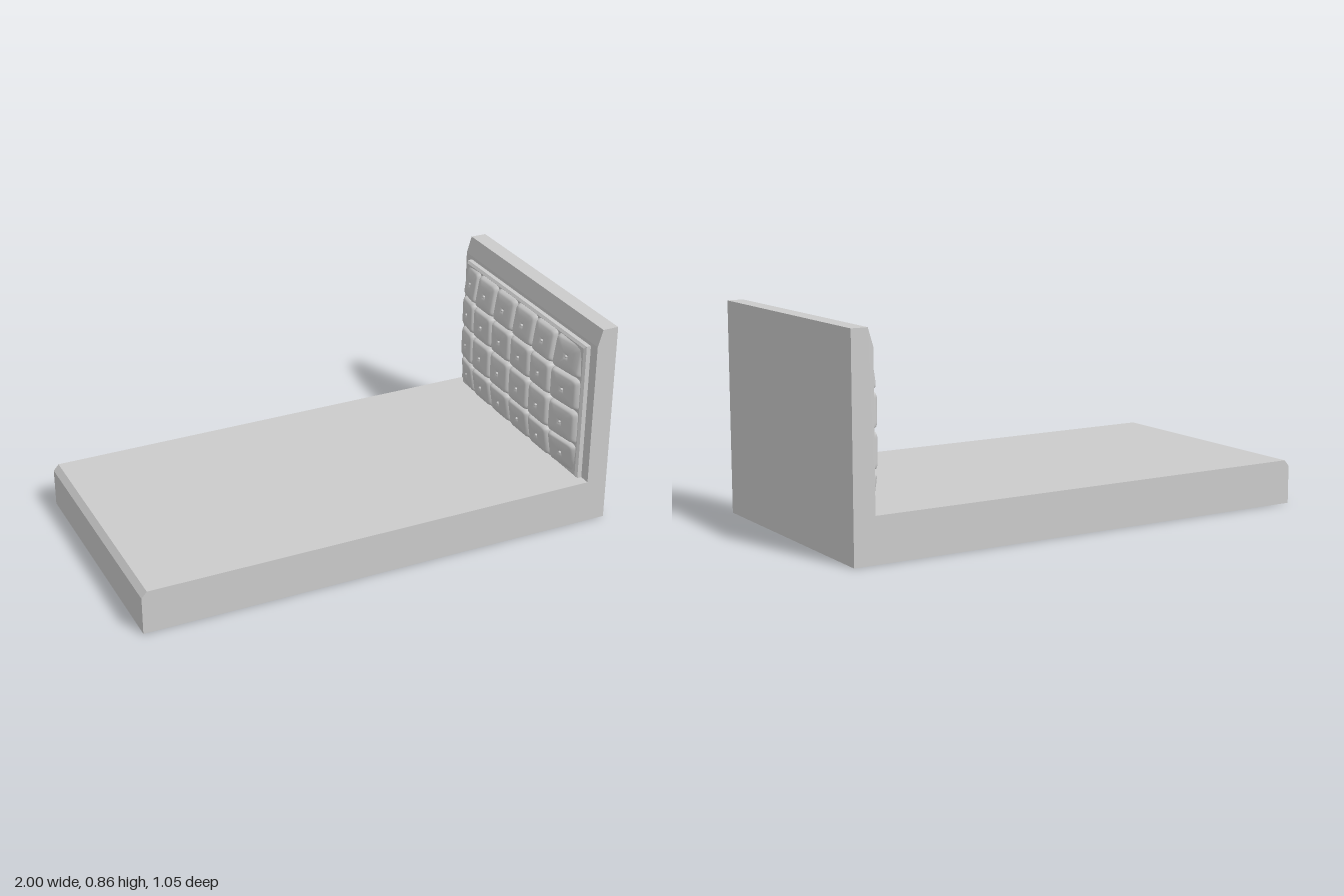
import * as THREE from 'three';

const material = new THREE.MeshStandardMaterial({ color: 0xcccccc, side: THREE.DoubleSide });
const HALF_WIDTH = 0.525;

function part(name, geometry, parent) {
  const mesh = new THREE.Mesh(geometry, material);
  mesh.name = name;
  parent.add(mesh);
  return mesh;
}

// Cushion seams across the headboard (z) and up it (y)
const seamsZ = [-0.472, -0.342, -0.188, -0.03, 0.13, 0.288, 0.468];
const seamsY = [0.188, 0.325, 0.475, 0.618, 0.762];

// Cushion section from its foot to the button dimple: [scale of outline, x]
const section = [
  [0.97, 0.892], [0.99, 0.876], [0.95, 0.86], [0.88, 0.85],
  [0.78, 0.845], [0.5, 0.841], [0.2, 0.84], [0.08, 0.846], [0, 0.849],
];
const SIDES = 40;

const squarish = (t) => Math.sign(t) * Math.pow(Math.abs(t), 0.22);

// One tufted cushion facing -x; leanZ and leanY tip border cushions back
function cushionGeometry(z0, z1, y0, y1, leanZ, leanY) {
  const positions = [], indices = [];
  const cz = (z0 + z1) / 2, cy = (y0 + y1) / 2;
  section.forEach(([scale, x], ring) => {
    for (let i = 0; i < SIDES; i++) {
      const angle = (i / SIDES) * Math.PI * 2;
      const u = squarish(Math.cos(angle)) * scale;
      const v = squarish(Math.sin(angle)) * scale;
      const back = Math.max(0, leanZ * u + Math.abs(leanZ)) * 0.011
        + Math.max(0, leanY * v + Math.abs(leanY)) * 0.011;
      positions.push(Math.min(x + back, 0.892), cy + v * (y1 - y0) / 2, cz + u * (z1 - z0) / 2);
      if (ring === section.length - 1) continue;
      const a = ring * SIDES + i, b = ring * SIDES + (i + 1) % SIDES;
      indices.push(a, b, b + SIDES, a, b + SIDES, a + SIDES);
    }
  });
  const geometry = new THREE.BufferGeometry();
  geometry.setAttribute('position', new THREE.Float32BufferAttribute(positions, 3));
  geometry.setIndex(indices);
  geometry.computeVertexNormals();
  return geometry;
}

export function createModel() {
  const model = new THREE.Group();
  model.name = 'bed';

  // Base and headboard share one L-shaped side profile
  const profile = new THREE.Shape([
    [-1, 0], [1, 0], [1, 0.855], [0.933, 0.855], [0.912, 0.785],
    [0.912, 0.18], [-0.978, 0.18], [-1, 0.155],
  ].map(([x, y]) => new THREE.Vector2(x, y)));
  const frame = new THREE.ExtrudeGeometry(profile, { depth: HALF_WIDTH * 2, bevelEnabled: false });
  frame.translate(0, 0, -HALF_WIDTH);
  part('bedFrame', frame, model);

  // Padded backing with a chamfered rim, behind the cushions
  const outline = new THREE.Shape([
    [-0.468, 0.19], [0.468, 0.19], [0.468, 0.76], [-0.468, 0.76],
  ].map(([z, y]) => new THREE.Vector2(z, y)));
  const backing = new THREE.ExtrudeGeometry(outline, {
    depth: 0.02, bevelThickness: 0.008, bevelSize: 0.01, bevelSegments: 1,
  });
  backing.rotateY(-Math.PI / 2);
  backing.translate(0.913, 0, 0);
  part('cushionBacking', backing, model);

  // Grid of tufted cushions, each with a small button
  const cushions = new THREE.Group();
  cushions.name = 'headboardCushions';
  model.add(cushions);
  const columns = seamsZ.length - 1, rows = seamsY.length - 1;
  const lean = (i, count) => (i === 0 ? -1 : i === count - 1 ? 1 : 0);
  for (let c = 0; c < columns; c++) {
    for (let r = 0; r < rows; r++) {
      const leanZ = lean(c, columns), leanY = lean(r, rows);
      const [z0, z1, y0, y1] = [seamsZ[c], seamsZ[c + 1], seamsY[r], seamsY[r + 1]];
      part('cushion', cushionGeometry(z0, z1, y0, y1, leanZ, leanY), cushions);
      const button = part('button', new THREE.SphereGeometry(0.006, 12, 8), cushions);
      button.position.set(0.843 + 0.011 * (Math.abs(leanZ) + Math.abs(leanY)), (y0 + y1) / 2, (z0 + z1) / 2);
    }
  }
  return model;
}
